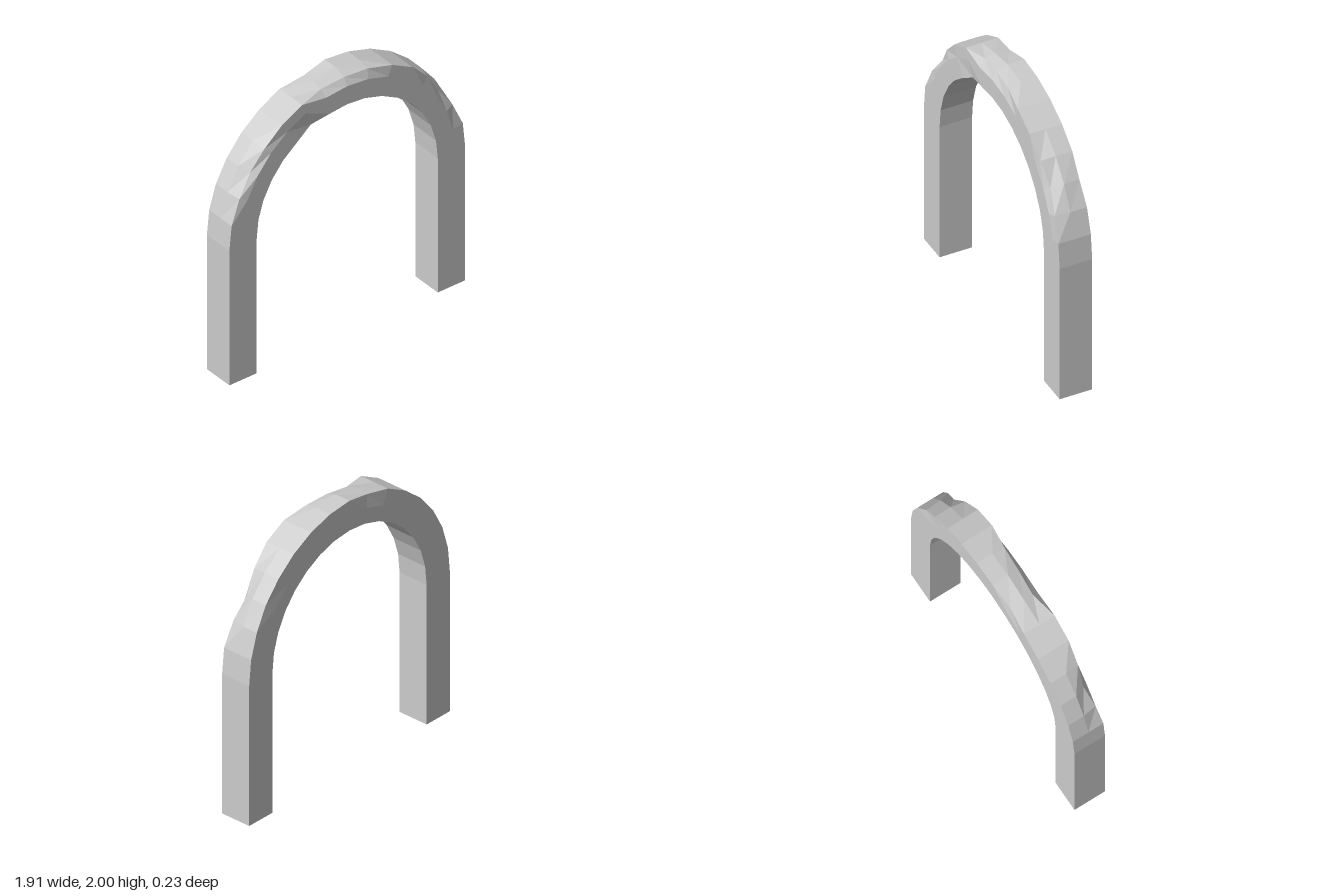
import * as THREE from 'three';

const INNER = 0.735, OUTER = 0.957, MID = 0.845;
const FRONT = 0.114, BACK = -0.119;
const SPRING = 1.043, SEGMENTS = 16;

// Worn corners, keyed by arch ring (0 = +x springing, 16 = -x): [radial, depth] inset
const wornOuterFront = {
  2: [0.022, 0.012], 3: [0.042, 0.034], 4: [0.02, 0.012],
  7: [0.017, 0.024], 8: [0.03, 0.034], 9: [0.034, 0.044],
  12: [0.022, 0.014], 13: [0.042, 0.036], 14: [0.02, 0.012],
};
const wornOuterBack = { 3: [0.006, 0.007], 9: [0.02, 0.015] };
const wornInnerFront = { 10: [0.015, 0.012] };
const wornCrown = { 9: [0.012, 0] };

// Eight-point stone section as [radius, z], running around the block
function section(i) {
  const at = (table) => table[i] || [0, 0];
  const of = at(wornOuterFront), ob = at(wornOuterBack), nf = at(wornInnerFront);
  return [
    [INNER, BACK], [INNER, 0], [INNER + nf[0], FRONT - nf[1]],
    [MID + 0.03, FRONT],
    [OUTER - of[0], FRONT - of[1]], [OUTER - at(wornCrown)[0], 0], [OUTER - ob[0], BACK + ob[1]],
    [MID, BACK],
  ];
}

function archGeometry() {
  const rings = [];
  const ground = (side) => section(-1).map(([r, z]) => [side * r, 0, z]);

  // Foot, semicircle, foot
  rings.push(ground(1));
  for (let i = 0; i <= SEGMENTS; i++) {
    const a = (Math.PI * i) / SEGMENTS;
    rings.push(section(i).map(([r, z]) => [r * Math.cos(a), SPRING + r * Math.sin(a), z]));
  }
  rings.push(ground(-1));

  const position = [];
  const tri = (a, b, c) => position.push(...a, ...b, ...c);
  const n = rings[0].length;
  for (let k = 0; k < rings.length - 1; k++) {
    const p = rings[k], q = rings[k + 1];
    for (let j = 0; j < n; j++) {
      const m = (j + 1) % n;
      tri(p[j], p[m], q[m]);
      tri(p[j], q[m], q[j]);
    }
  }

  // Undersides of the two feet
  const first = rings[0], last = rings[rings.length - 1];
  for (let j = 1; j < n - 1; j++) {
    tri(first[0], first[j + 1], first[j]);
    tri(last[0], last[j], last[j + 1]);
  }

  const geometry = new THREE.BufferGeometry();
  geometry.setAttribute('position', new THREE.Float32BufferAttribute(position, 3));
  geometry.computeVertexNormals();
  return geometry;
}

export function createModel() {
  const group = new THREE.Group();
  group.name = 'stoneArch';
  const stone = new THREE.MeshStandardMaterial({ color: 0xcccccc, flatShading: true });
  const arch = new THREE.Mesh(archGeometry(), stone);
  arch.name = 'archway';
  group.add(arch);
  return group;
}
